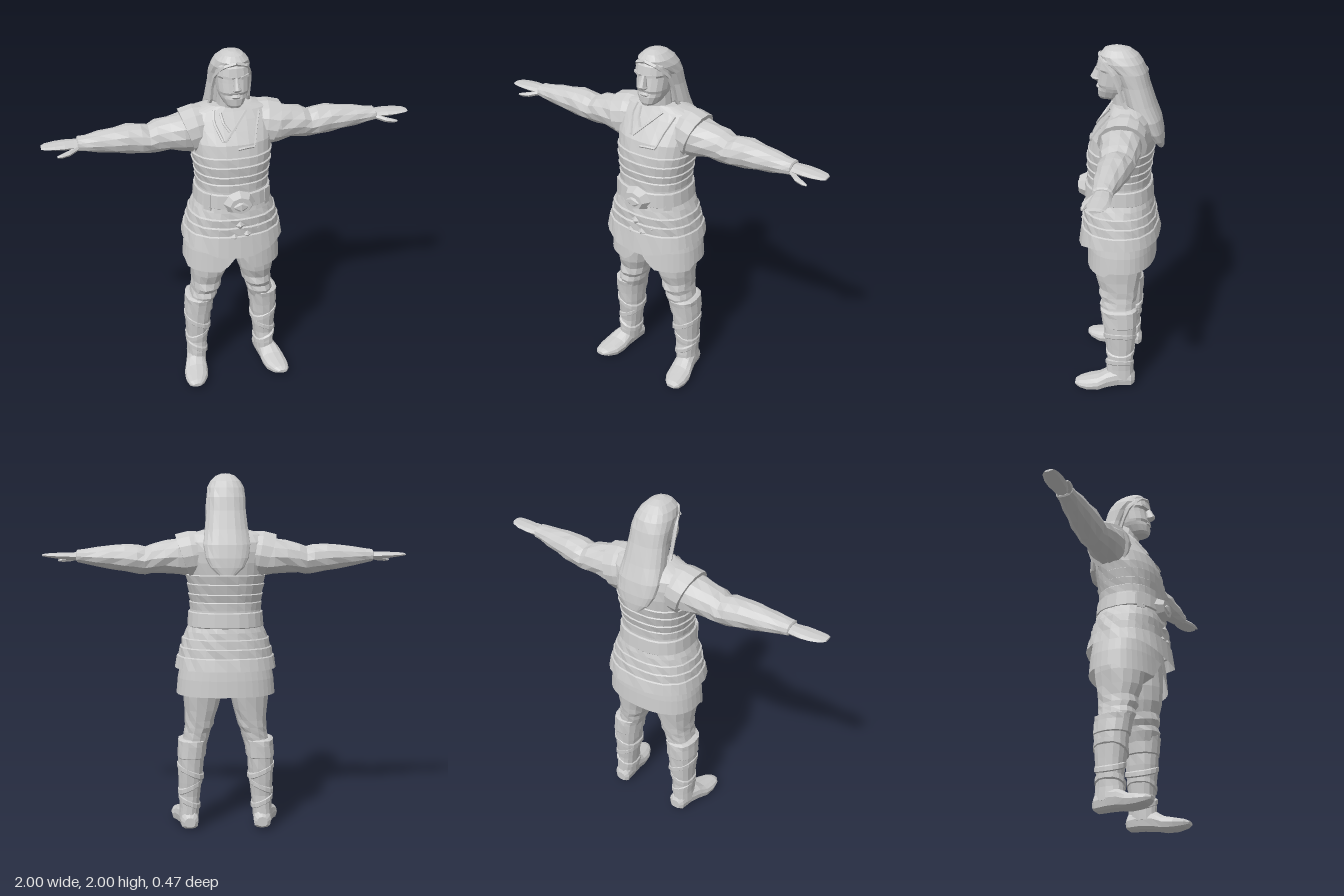
import * as THREE from 'three';

const SHAPE = 0.85; // below 1 makes ellipses a little boxy
const pw = (v) => Math.sign(v) * Math.abs(v) ** SHAPE;

// Skins rings of points into a faceted surface, with optional end caps, faces outward
function loft(rings, caps = true) {
  const tris = [], n = rings[0].length;
  for (let r = 0; r < rings.length - 1; r++) {
    const a = rings[r], b = rings[r + 1];
    for (let i = 0; i < n; i++) {
      const j = (i + 1) % n;
      tris.push([a[i], b[i], b[j]], [a[i], b[j], a[j]]);
    }
  }
  if (caps) {
    [rings[0], rings[rings.length - 1]].forEach((ring, k) => {
      const c = ring.reduce((s, p) => s.add(p), new THREE.Vector3()).divideScalar(n);
      ring.forEach((p, i) => {
        const q = ring[(i + 1) % n];
        tris.push(k ? [c, q, p] : [c, p, q]);
      });
    });
  }
  // Signed volume tells whether the winding must be reversed
  const mid = rings.flat().reduce((s, p) => s.add(p), new THREE.Vector3()).divideScalar(n * rings.length);
  let vol = 0;
  for (const [a, b, c] of tris) {
    const [u, v, w] = [a, b, c].map((p) => p.clone().sub(mid));
    vol += u.dot(v.cross(w));
  }
  const pts = tris.flatMap(([a, b, c]) => (vol < 0 ? [a, c, b] : [a, b, c]));
  const g = new THREE.BufferGeometry().setFromPoints(pts);
  g.computeVertexNormals();
  return g;
}

// Horizontal ring: x centre, y, half width, front z, back z
function hRing(cx, y, rx, zf, zb, n = 16, fold = 0) {
  return Array.from({ length: n }, (_, i) => {
    const t = (i / n) * Math.PI * 2, k = 1 + fold * Math.sin(i * 2.4 + y * 70);
    return new THREE.Vector3(cx + rx * k * pw(Math.cos(t)), y,
      (zf + zb) / 2 + ((zf - zb) / 2) * k * pw(Math.sin(t)));
  });
}

// Ring across the arm: x, centre y and z, half height, half depth
function xRing(s, x, cy, cz, ry, rz, n = 12, fold = 0, tilt = 0) {
  return Array.from({ length: n }, (_, i) => {
    const t = (i / n) * Math.PI * 2, k = 1 + fold * Math.sin(i * 2.1 + x * 45);
    const dy = ry * k * Math.sin(t);
    return new THREE.Vector3(s * (x + dy * tilt), cy + dy, cz + rz * k * Math.cos(t));
  });
}

// Torso rows: y, half width, front z, back z; paired rows form overlapping bands
const TORSO = [
  [1.12, 0.21, 0.185, -0.17], [1.26, 0.197, 0.18, -0.165], [1.30, 0.202, 0.182, -0.168],
  [1.305, 0.197, 0.176, -0.164], [1.345, 0.208, 0.184, -0.176], [1.35, 0.202, 0.178, -0.17],
  [1.40, 0.216, 0.184, -0.182], [1.405, 0.21, 0.176, -0.177], [1.45, 0.222, 0.174, -0.188],
  [1.455, 0.215, 0.167, -0.183], [1.52, 0.222, 0.152, -0.19], [1.58, 0.23, 0.112, -0.185],
  [1.63, 0.235, 0.078, -0.17], [1.67, 0.21, 0.05, -0.14], [1.695, 0.12, 0.035, -0.11],
];

// Front surface depth of the torso, used to lay trim on it
function frontZ(x, y) {
  let i = 0;
  while (i < TORSO.length - 2 && TORSO[i + 1][0] < y) i++;
  const a = TORSO[i], b = TORSO[i + 1], t = THREE.MathUtils.clamp((y - a[0]) / (b[0] - a[0]), 0, 1);
  const [rx, zf, zb] = [1, 2, 3].map((k) => a[k] + (b[k] - a[k]) * t);
  const c = Math.min(1, Math.abs(x) / rx) ** (1 / SHAPE);
  return (zf + zb) / 2 + ((zf - zb) / 2) * Math.sqrt(1 - c * c) ** SHAPE;
}

export function createModel() {
  const model = new THREE.Group();
  const grey = new THREE.MeshStandardMaterial({ color: 0xcccccc, side: THREE.DoubleSide, flatShading: true });
  grey.name = 'plain grey';
  const add = (name, geometry) => {
    const m = new THREE.Mesh(geometry, grey);
    m.name = name;
    model.add(m);
    return m;
  };
  const stack = (name, rows, { cx = 0, n = 24, fold = 0, caps = true } = {}) =>
    add(name, loft(rows.map(([y, rx, zf, zb, x = cx]) => hRing(x, y, rx, zf, zb, n, fold)), caps));
  const cord = (name, pts, r) => {
    const path = new THREE.CurvePath();
    const v = pts.map((p) => new THREE.Vector3(...p));
    for (let i = 1; i < v.length; i++) path.add(new THREE.LineCurve3(v[i - 1], v[i]));
    return add(name, new THREE.TubeGeometry(path, (v.length - 1) * 4, r, 5));
  };

  // Torso and belt
  stack('torso', TORSO, { n: 28, fold: 0.006 });
  stack('belt', [[1.165, 0.206, 0.19, -0.178], [1.17, 0.213, 0.197, -0.183],
    [1.245, 0.207, 0.193, -0.177], [1.25, 0.199, 0.187, -0.17]]);

  // Tunic skirt in bands, hem dipping at the front
  const tunic = [[0.935, 0.282, 0.23, -0.225], [1.00, 0.27, 0.215, -0.212], [1.005, 0.262, 0.207, -0.205],
    [1.05, 0.257, 0.21, -0.203], [1.055, 0.249, 0.2, -0.196], [1.10, 0.242, 0.205, -0.192],
    [1.105, 0.234, 0.195, -0.186], [1.14, 0.222, 0.19, -0.182], [1.18, 0.203, 0.184, -0.172]]
    .map(([y, rx, zf, zb]) => hRing(0, y, rx, zf, zb, 32, 0.01));
  tunic[0].forEach((p) => { if (p.z > 0) p.y -= 0.06 * (p.z / 0.23) ** 4; });
  add('tunicSkirt', loft(tunic, false));

  // Under skirt with a split at the front
  const under = [hRing(0, 0.79, 0.276, 0.183, -0.203, 40), hRing(0, 0.88, 0.268, 0.175, -0.198, 40),
    hRing(0, 1.0, 0.245, 0.16, -0.185, 40)];
  under[0].forEach((p) => {
    if (p.z > 0.05) p.y = 0.762 + Math.max(0, 1 - Math.abs(p.x) / 0.085) * 0.11;
  });
  add('underSkirt', loft(under, false));
  stack('hips', [[0.77, 0.05, 0.05, -0.07], [0.83, 0.17, 0.12, -0.14], [0.98, 0.22, 0.15, -0.17]]);

  // Buckle and small hanging ornaments
  const buckle = add('buckle', new THREE.CylinderGeometry(0.06, 0.088, 0.045, 8));
  buckle.rotation.x = Math.PI / 2;
  buckle.scale.z = 0.8;
  buckle.position.set(0, 1.2, 0.205);
  const boss = add('buckleBoss', new THREE.IcosahedronGeometry(0.04, 0));
  boss.position.set(0, 1.195, 0.218);
  boss.scale.set(1.2, 0.9, 0.6);
  for (const [x, y] of [[0, 1.07], [-0.03, 1.0], [0.04, 1.01], [0.1, 1.04], [-0.11, 1.04]]) {
    const o = add('skirtOrnament', new THREE.OctahedronGeometry(0.026));
    o.position.set(x, y, 0.207 - x * x * 2);
    o.scale.z = 0.6;
  }

  // Neckline, lapel and yoke edges
  const trim = (pts) => cord('tunicTrim', pts.map(([x, y]) => [x, y, frontZ(x, y) + 0.001]), 0.008);
  trim([[-0.1, 1.68], [-0.11, 1.63], [-0.07, 1.53], [0, 1.6], [0.07, 1.67]]);
  trim([[0, 1.5], [0.04, 1.505], [0.09, 1.505], [0.11, 1.58], [0.14, 1.66]]);
  trim([[-0.07, 1.67], [-0.06, 1.62], [-0.03, 1.58]]);

  // Neck, head and face
  stack('neck', [[1.6, 0.085, 0.05, -0.1], [1.66, 0.073, 0.04, -0.09], [1.78, 0.07, 0.05, -0.08]], { n: 12 });
  stack('head', [[1.715, 0.035, 0.112, 0.0], [1.73, 0.052, 0.12, -0.03], [1.765, 0.072, 0.122, -0.06],
    [1.785, 0.08, 0.115, -0.06], [1.80, 0.083, 0.122, -0.06], [1.85, 0.088, 0.112, -0.07],
    [1.872, 0.09, 0.108, -0.07], [1.885, 0.09, 0.126, -0.07], [1.93, 0.085, 0.117, -0.07],
    [1.97, 0.06, 0.085, -0.04]], { n: 16 });
  stack('nose', [[1.805, 0.012, 0.13, 0.09], [1.82, 0.024, 0.155, 0.09], [1.828, 0.02, 0.16, 0.09],
    [1.885, 0.01, 0.13, 0.09]], { n: 8 });
  stack('lips', [[1.768, 0.02, 0.122, 0.09], [1.778, 0.03, 0.13, 0.09], [1.79, 0.02, 0.124, 0.09]], { n: 8 });

  // Long hair falling down the back
  stack('hair', [[1.46, 0.045, -0.205, -0.235], [1.50, 0.09, -0.175, -0.236], [1.55, 0.115, -0.14, -0.232],
    [1.62, 0.127, -0.09, -0.218], [1.70, 0.118, -0.03, -0.188], [1.80, 0.107, -0.005, -0.155],
    [1.87, 0.106, 0.03, -0.138], [1.92, 0.1, 0.09, -0.118], [1.955, 0.084, 0.108, -0.092],
    [1.983, 0.055, 0.085, -0.055], [1.997, 0.02, 0.045, -0.01]], { n: 20, fold: 0.012 });

  for (const s of [1, -1]) {
    const side = s > 0 ? 'left' : 'right';
    cord(side + 'Hairline', [[0, 1.955, 0.108], [s * 0.06, 1.935, 0.094], [s * 0.093, 1.87, 0.03],
      [s * 0.1, 1.8, 0], [s * 0.1, 1.72, -0.025], [s * 0.12, 1.64, -0.08]], 0.011);

    // Brow and belt plate
    const brow = add(side + 'Brow', new THREE.BoxGeometry(0.05, 0.014, 0.02));
    brow.position.set(s * 0.042, 1.885, 0.11);
    brow.rotation.set(0, s * 0.45, s * 0.15);
    const plate = add(side + 'BeltPlate', new THREE.BoxGeometry(0.045, 0.095, 0.02));
    plate.position.set(s * 0.16, 1.2, 0.132);
    plate.rotation.y = s * 0.75;

    // Shoulder cap with a slanted open edge
    add(side + 'ShoulderCap', loft([
      xRing(s, 0.1, 1.57, -0.045, 0.115, 0.1, 14), xRing(s, 0.18, 1.56, -0.04, 0.13, 0.125, 14, 0, 0.2),
      xRing(s, 0.235, 1.55, -0.035, 0.122, 0.13, 14, 0, 0.35), xRing(s, 0.236, 1.55, -0.035, 0.1, 0.11, 14, 0, 0.35),
    ]));

    // Sleeve with folds
    const sleeve = [[0.14, 1.55, -0.03, 0.12, 0.1], [0.26, 1.55, -0.032, 0.1, 0.112], [0.33, 1.548, -0.035, 0.088, 0.103],
      [0.4, 1.54, -0.035, 0.082, 0.095], [0.44, 1.528, -0.035, 0.074, 0.088], [0.48, 1.535, -0.033, 0.079, 0.09],
      [0.55, 1.543, -0.03, 0.075, 0.085], [0.62, 1.545, -0.024, 0.066, 0.077], [0.7, 1.548, -0.018, 0.054, 0.067],
      [0.77, 1.55, -0.013, 0.041, 0.056], [0.81, 1.552, -0.012, 0.035, 0.052], [0.815, 1.552, -0.012, 0.026, 0.042]];
    add(side + 'Sleeve', loft(sleeve.map((r) => xRing(s, ...r, 12, 0.04))));

    // Hand and thumb
    const hand = [[0.79, 1.55, -0.012, 0.024, 0.04], [0.83, 1.55, -0.014, 0.022, 0.046], [0.88, 1.552, -0.013, 0.02, 0.053],
      [0.93, 1.554, -0.01, 0.015, 0.053], [0.98, 1.556, -0.005, 0.01, 0.042], [1.0, 1.556, 0, 0.006, 0.026]];
    add(side + 'Hand', loft(hand.map((r) => xRing(s, ...r, 8))));
    const thumb = [[0.81, 1.542, 0.015, 0.014, 0.018], [0.86, 1.53, 0.048, 0.014, 0.018],
      [0.9, 1.525, 0.062, 0.011, 0.013], [0.925, 1.523, 0.066, 0.005, 0.006]];
    add(side + 'Thumb', loft(thumb.map((r) => xRing(s, ...r, 6))));

    // Trouser leg: y, half width, front z, back z, x
    const leg = [[0.48, 0.07, 0.075, -0.1, 0.18], [0.54, 0.075, 0.098, -0.106, 0.165], [0.57, 0.074, 0.09, -0.108, 0.16],
      [0.60, 0.082, 0.108, -0.114, 0.15], [0.64, 0.085, 0.1, -0.118, 0.146], [0.70, 0.097, 0.122, -0.128, 0.138],
      [0.78, 0.11, 0.132, -0.142, 0.132], [0.92, 0.115, 0.13, -0.15, 0.125]];
    stack(side + 'TrouserLeg', leg.map((r) => [...r.slice(0, 4), s * r[4]]), { n: 14, fold: 0.025 });

    // Boot shaft with cuff
    const boot = [[0.06, 0.056, 0.06, -0.1, 0.212], [0.13, 0.055, 0.06, -0.098, 0.208], [0.2, 0.06, 0.05, -0.095, 0.205],
      [0.28, 0.066, 0.06, -0.105, 0.202], [0.36, 0.073, 0.07, -0.112, 0.199], [0.42, 0.074, 0.074, -0.115, 0.197],
      [0.425, 0.081, 0.082, -0.118, 0.195], [0.49, 0.081, 0.09, -0.118, 0.189], [0.52, 0.085, 0.095, -0.116, 0.186],
      [0.528, 0.07, 0.08, -0.1, 0.184]];
    stack(side + 'Boot', boot.map((r) => [...r.slice(0, 4), s * r[4]]), { n: 14, fold: 0.02 });

    // Slanted wraps around the boot
    [[0.16, 0.059, 0.06, -0.098, 0.207, 1], [0.25, 0.066, 0.058, -0.102, 0.203, -1], [0.34, 0.073, 0.07, -0.111, 0.2, 1]]
      .forEach(([y, rx, zf, zb, x, d]) => {
        const ring = (h, o) => hRing(s * x, y + h, rx + o, zf + o, zb - o, 14)
          .map((p) => p.setY(p.y + (p.x - s * x) * s * d * 0.45));
        add(side + 'BootWrap', loft([ring(-0.02, -0.006), ring(-0.012, 0.004), ring(0.012, 0.004), ring(0.02, -0.006)]));
      });

    // Foot, turned outward: z, x, half width, top, bottom
    const foot = [[-0.107, 0.205, 0.03, 0.08, 0.025], [-0.09, 0.206, 0.05, 0.11, 0.012], [-0.02, 0.213, 0.055, 0.13, 0.012],
      [0.05, 0.228, 0.062, 0.115, 0.008], [0.1, 0.238, 0.07, 0.085, 0], [0.16, 0.246, 0.067, 0.072, 0.002],
      [0.21, 0.256, 0.048, 0.062, 0.015], [0.235, 0.26, 0.025, 0.05, 0.03]];
    add(side + 'Foot', loft(foot.map(([z, x, w, top, bot]) => Array.from({ length: 12 }, (_, i) => {
      const t = (i / 12) * Math.PI * 2, v = Math.sin(t);
      return new THREE.Vector3(s * (x + w * pw(Math.cos(t))),
        (top + bot) / 2 + ((top - bot) / 2) * Math.sign(v) * Math.abs(v) ** (v < 0 ? 0.5 : 1), z);
    }))));
  }
  return model;
}
